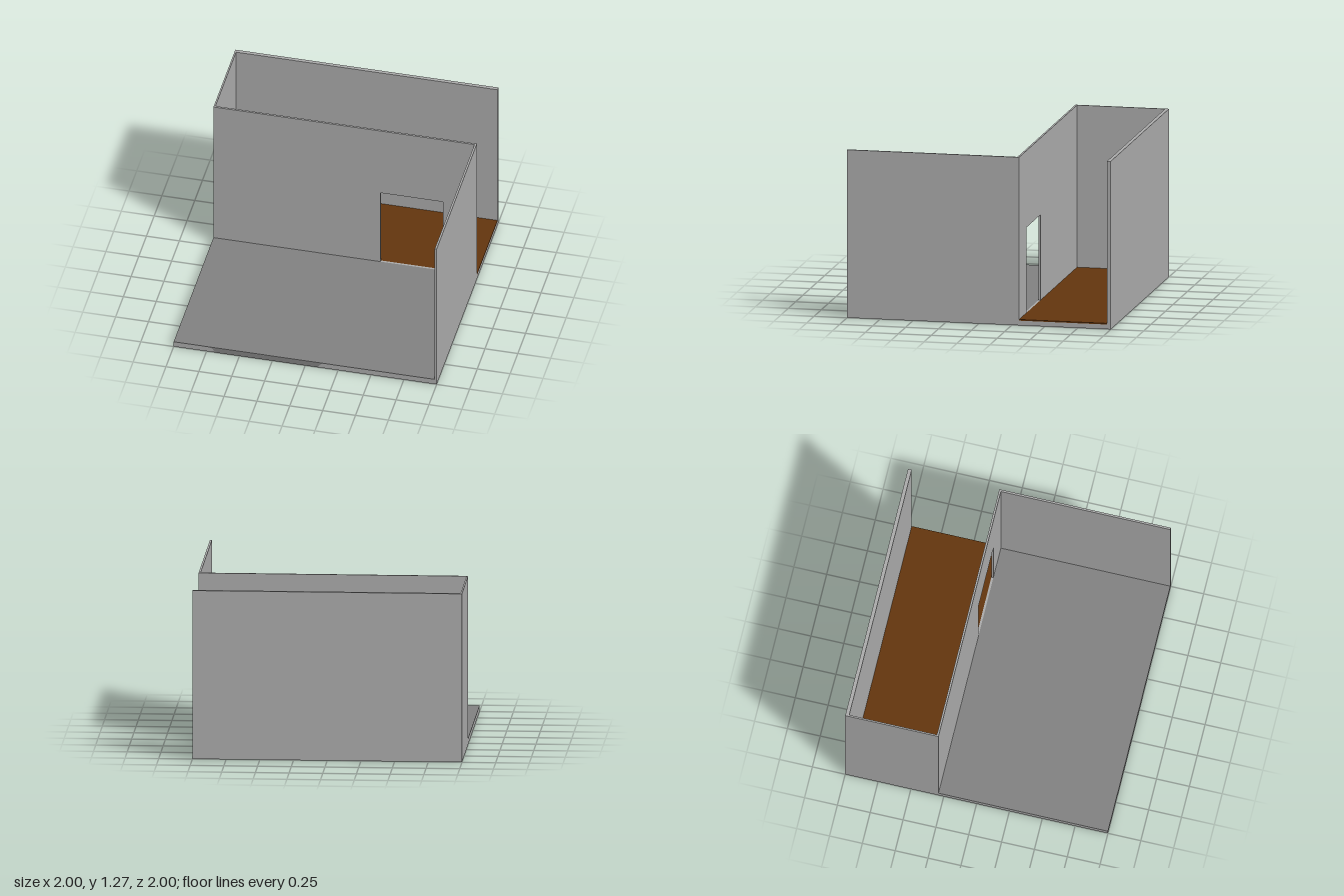
import * as THREE from 'three';

export function createModel() {
  const group = new THREE.Group();
  const paint = (name, color) => {
    const m = new THREE.MeshStandardMaterial({ color });
    m.name = name;
    return m;
  };
  const wallGrey = paint('wall grey', 0xaaaaaa);
  const floorGrey = paint('floor grey', 0x808080);
  const brown = paint('brown floor', 0x63350d);

  const add = (name, geometry, material) => {
    const mesh = new THREE.Mesh(geometry, material);
    mesh.name = name;
    group.add(mesh);
    return mesh;
  };
  // Box given by its limits on each axis
  const box = (name, material, [x0, x1], [y0, y1], [z0, z1]) =>
    add(name, new THREE.BoxGeometry(x1 - x0, y1 - y0, z1 - z0), material)
      .position.set((x0 + x1) / 2, (y0 + y1) / 2, (z0 + z1) / 2);

  const TOP = 1.27, FLOOR = 0.045, BASE = 0.036;

  // Slab and the two floor finishes
  box('baseSlab', wallGrey, [-1, 1], [0.001, BASE], [-1, 1]);
  box('frontFloorEdge', wallGrey, [-1, 0.985], [BASE, 0.041], [-0.29, 1]);
  box('frontFloor', floorGrey, [-1, 0.985], [0.041, FLOOR], [-0.29, 1]);
  box('corridorFloor', brown, [-0.988, 1], [BASE, FLOOR], [-0.972, -0.305]);

  // Plain walls
  box('backWall', wallGrey, [-1, 1], [BASE, TOP], [-1, -0.972]);
  box('rightEndWall', wallGrey, [-1, -0.988], [BASE, TOP], [-0.972, -0.305]);
  box('leftSideWall', wallGrey, [0.985, 1], [BASE, TOP], [-0.29, 1]);

  // Middle wall with a doorway
  const wall = new THREE.Shape([[-1, BASE], [1, BASE], [1, TOP], [-1, TOP]]
    .map(([x, y]) => new THREE.Vector2(x, y)));
  wall.holes.push(new THREE.Path([[0.27, FLOOR], [0.27, 0.69], [0.745, 0.69], [0.745, FLOOR]]
    .map(([x, y]) => new THREE.Vector2(x, y))));
  add('middleWall', new THREE.ExtrudeGeometry(wall, { depth: 0.015, bevelEnabled: false }), wallGrey)
    .position.z = -0.305;

  // Dark patch on the front edge, flaring out to meet the floor
  const edge = new THREE.Shape();
  edge.moveTo(-0.69, 0.001);
  edge.lineTo(0.1, 0.001);
  edge.quadraticCurveTo(0.105, 0.036, 0.14, 0.041);
  edge.lineTo(-0.73, 0.041);
  edge.quadraticCurveTo(-0.695, 0.036, -0.69, 0.001);
  add('frontEdgePatch', new THREE.ShapeGeometry(edge), floorGrey).position.z = 1.001;

  // Dark patch on the underside, with rounded inner corners
  const under = new THREE.Shape();
  under.moveTo(-0.69, 1);
  under.lineTo(-0.69, 0.78);
  under.quadraticCurveTo(-0.69, 0.72, -0.63, 0.72);
  under.lineTo(0.04, 0.72);
  under.quadraticCurveTo(0.1, 0.72, 0.1, 0.78);
  under.lineTo(0.1, 1);
  // Turning the shape's +y to +z makes its face look down
  add('undersidePatch', new THREE.ShapeGeometry(under), floorGrey).rotation.x = Math.PI / 2;

  return group;
}
